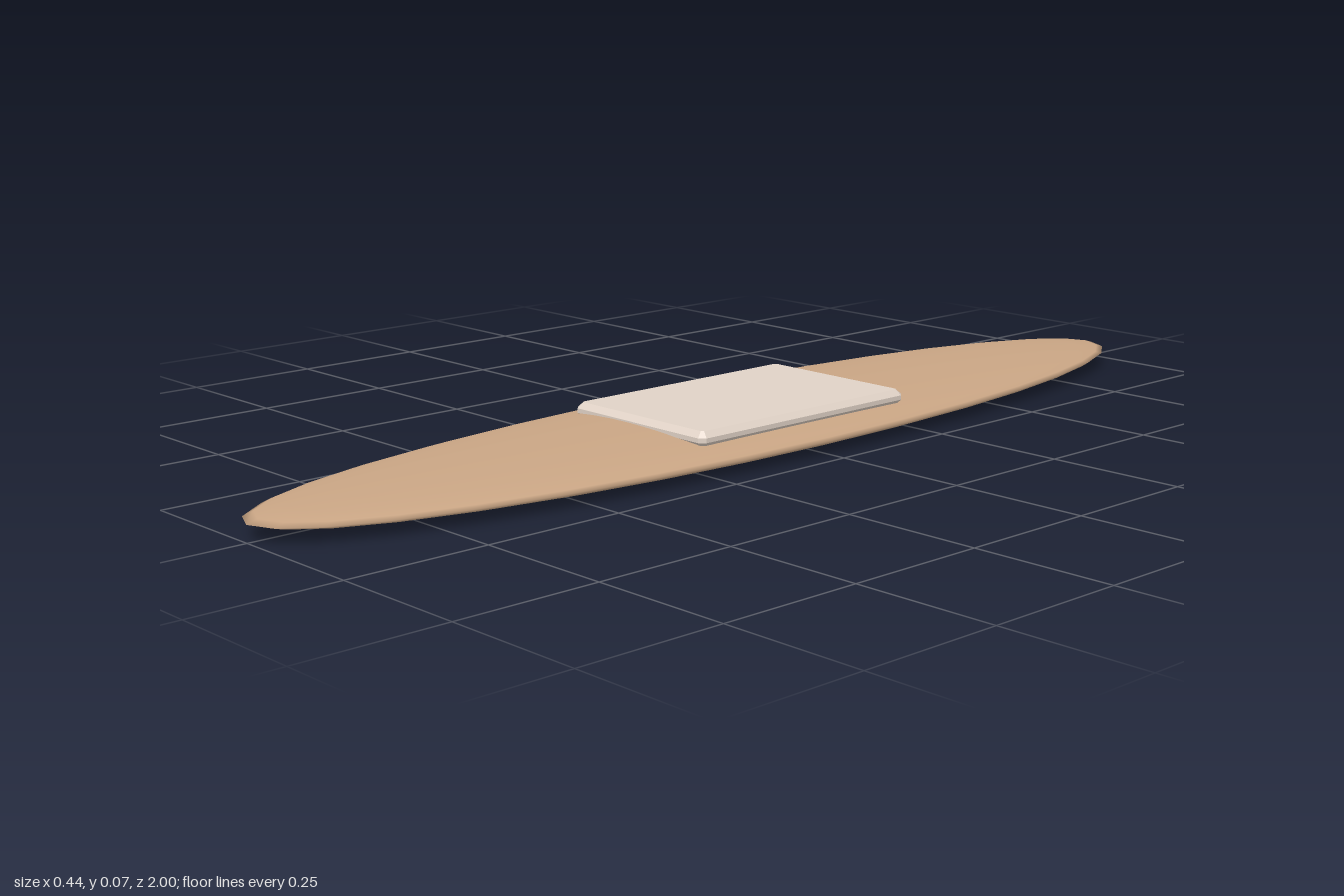
import * as THREE from 'three';

const makePart = (name, geometry, color, flatShading = false) => {
  const mesh = new THREE.Mesh(geometry, new THREE.MeshStandardMaterial({ color, flatShading }));
  mesh.name = name;
  return mesh;
};

// Flat rectangle with cut corners, lying in the xz plane once turned
function padOutline(halfX, halfZ, cut) {
  const x = halfX, z = halfZ;
  return new THREE.Shape([
    [x - cut, -z], [x, -z + cut], [x, z - cut], [x - cut, z],
    [-x + cut, z], [-x, z - cut], [-x, -z + cut], [-x + cut, -z],
  ].map(([a, b]) => new THREE.Vector2(a, b)));
}

export function createModel() {
  const model = new THREE.Group();
  model.name = 'paddedStrip';

  // Long flattened strip, tipped slightly sideways
  const stripGeometry = new THREE.SphereGeometry(1, 32, 16).scale(0.22, 0.028, 1);
  const strip = makePart('strip', stripGeometry, 0xc9a584);
  strip.position.y = 0.031;
  strip.rotation.z = -0.016;
  model.add(strip);

  // Bevelled pad set into the middle of the strip
  const bevel = 0.01, bottom = 0.043, top = 0.071;
  const padGeometry = new THREE.ExtrudeGeometry(padOutline(0.154, 0.236, 0.004), {
    depth: top - bottom - 2 * bevel,
    bevelEnabled: true, bevelSegments: 1, bevelSize: bevel, bevelThickness: bevel,
  });
  padGeometry.rotateX(-Math.PI / 2).translate(0, bottom + bevel, 0);
  model.add(makePart('pad', padGeometry, 0xe0d2c6, true));

  return model;
}
